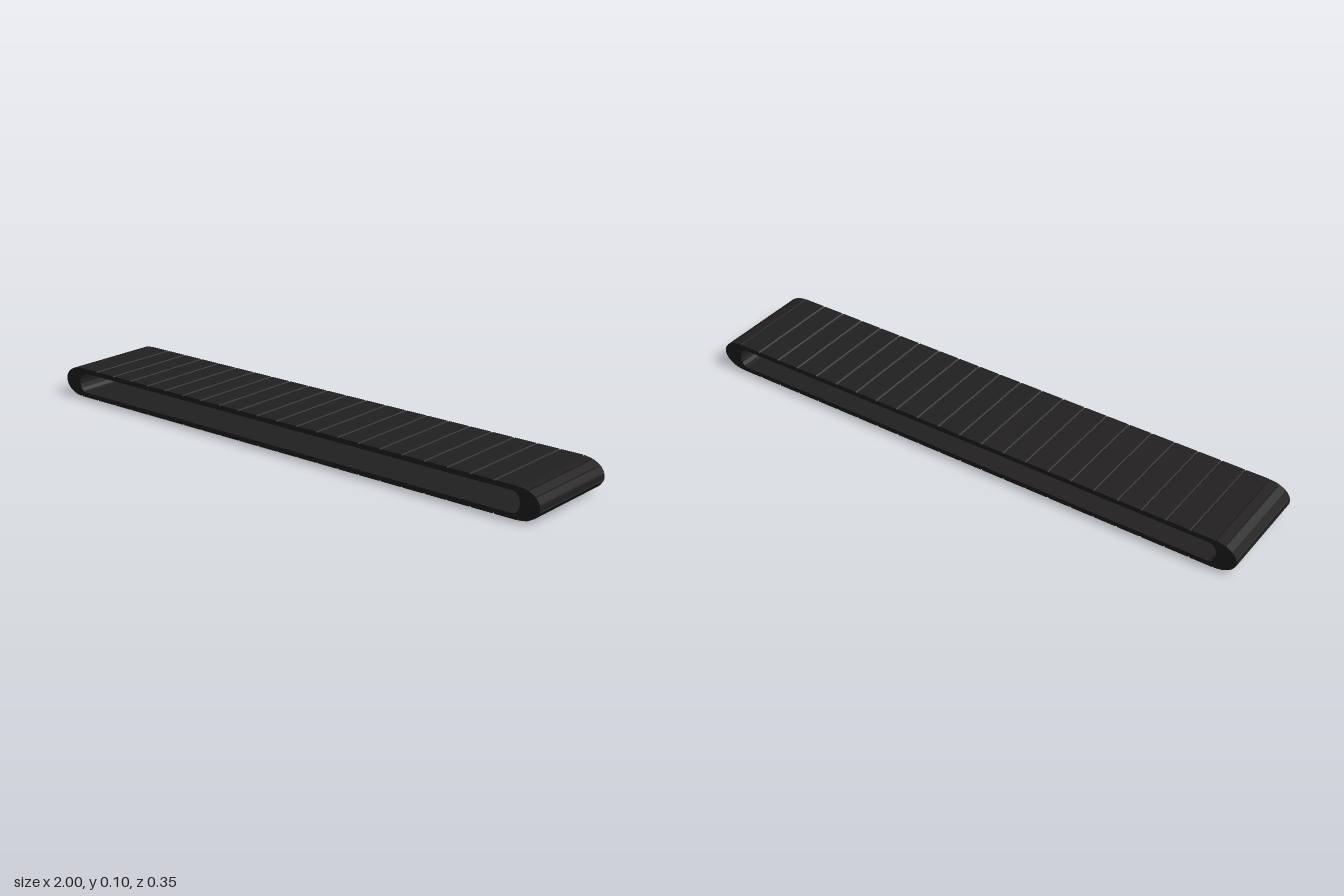
import * as THREE from 'three';

const WIDTH = 0.354, MID = 0.0525, PITCH = 0.084, FLAT = 22, TURN = 7;
const HALF = PITCH * FLAT / 2;

export function createModel() {
  const belt = new THREE.Group();
  belt.name = 'conveyorBelt';
  const material = new THREE.MeshStandardMaterial({ color: 0x222021 });

  // Joint lines round the loop: the outer and inner point of each
  const joints = [];
  const addRun = (side) => {
    for (let i = 0; i < FLAT; i++) {
      const x = side * (-HALF + i * PITCH);
      const inner = i === 0 ? side * -0.905 : x;
      joints.push([new THREE.Vector2(x, MID + side * 0.0525), new THREE.Vector2(inner, MID + side * 0.0355)]);
    }
  };
  const addTurn = (side) => {
    for (let i = 0; i < TURN; i++) {
      const a = Math.PI / 2 - Math.PI * i / TURN;
      const c = Math.cos(a), s = Math.sin(a);
      joints.push([
        new THREE.Vector2(side * (HALF + 0.076 * c), MID + side * 0.0525 * s),
        new THREE.Vector2(side * (0.905 + 0.025 * c), MID + side * 0.0355 * s),
      ]);
    }
  };
  addRun(1);
  addTurn(1);
  addRun(-1);
  addTurn(-1);

  // One slat between two joints, its outer edges bevelled to leave a groove
  const slat = ([outA, inA], [outB, inB]) => {
    const length = outA.distanceTo(outB);
    const bevel = Math.min(0.004 / length, 0.08);
    const shape = new THREE.Shape([
      inA,
      outA.clone().lerp(inA, 0.004 / outA.distanceTo(inA)),
      outA.clone().lerp(outB, bevel),
      outB.clone().lerp(outA, bevel),
      outB.clone().lerp(inB, 0.004 / outB.distanceTo(inB)),
      inB,
    ]);
    const geometry = new THREE.ExtrudeGeometry(shape, { depth: WIDTH, bevelEnabled: false });
    geometry.translate(0, 0, -WIDTH / 2);
    return new THREE.Mesh(geometry, material);
  };

  joints.forEach((joint, i) => {
    const mesh = slat(joint, joints[(i + 1) % joints.length]);
    const k = i % (FLAT + TURN);
    const first = i < FLAT + TURN;
    mesh.name = k < FLAT ? (first ? 'topSlat' : 'bottomSlat') : (first ? 'leftEndSlat' : 'rightEndSlat');
    belt.add(mesh);
  });
  return belt;
}
